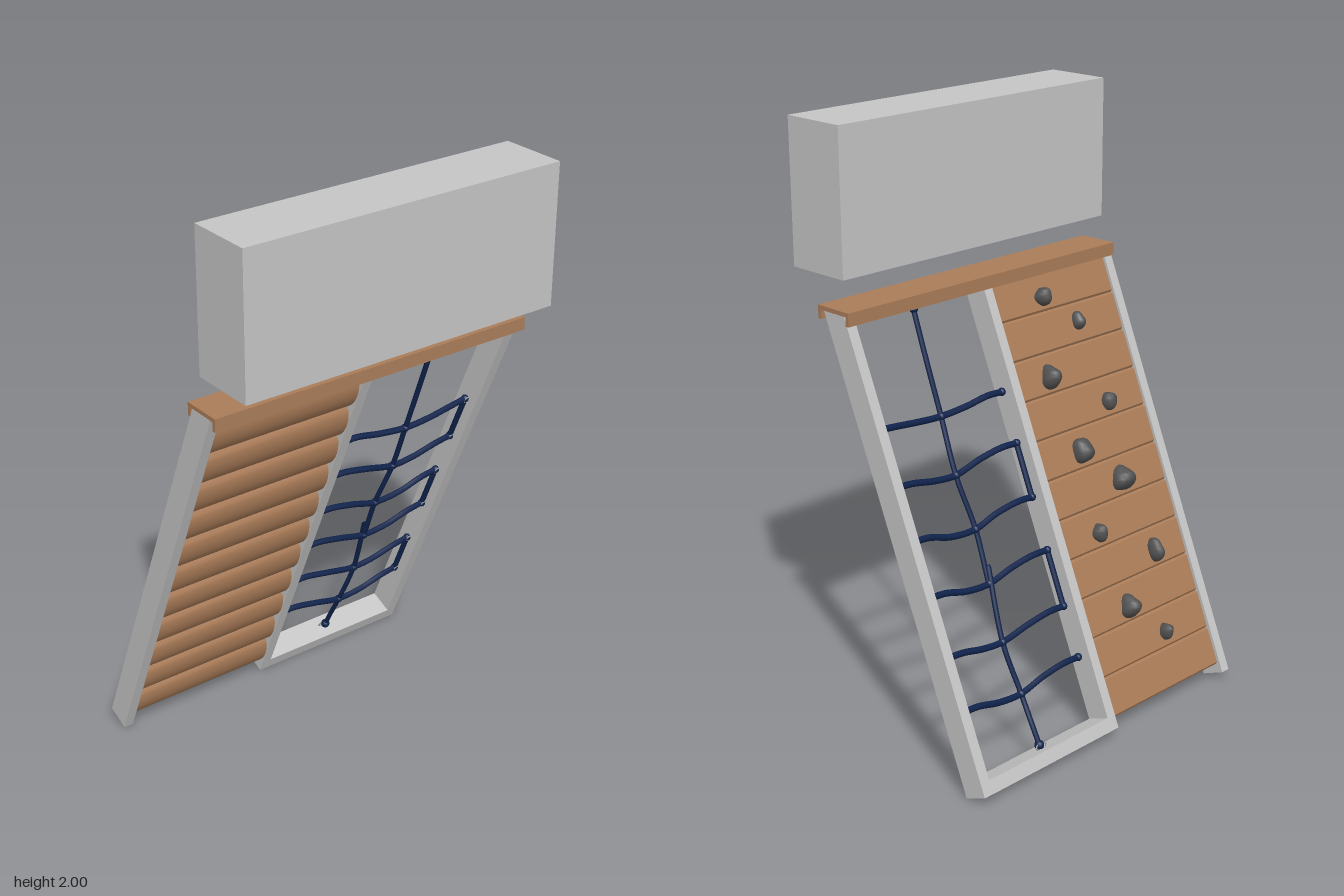
import * as THREE from 'three';
import { toCreasedNormals } from 'three/addons/utils/BufferGeometryUtils.js';

const TILT = 0.397, C = Math.cos(TILT), S = Math.sin(TILT);

function material(name, color) {
  const m = new THREE.MeshStandardMaterial({ color });
  m.name = name;
  return m;
}

// Extrudes a (z, y) outline sideways from x0 to x1
function extrudeX(points, x0, x1) {
  const shape = new THREE.Shape(points.map(([z, y]) => new THREE.Vector2(z, y)));
  const geo = new THREE.ExtrudeGeometry(shape, { depth: x1 - x0, bevelEnabled: false });
  geo.rotateY(-Math.PI / 2);
  geo.translate(x1, 0, 0);
  return toCreasedNormals(geo, 0.5);
}

export function createModel() {
  const model = new THREE.Group();
  model.name = 'climbingRamp';
  const grey = material('lightGrey', 0xc4c4c4);
  const wood = material('wood', 0xaa7c58);
  const navy = material('navyRope', 0x10234c);
  const stone = material('darkStone', 0x505050);
  const metal = material('metal', 0x9a9c9e);

  const add = (parent, name, geo, mat, x = 0, y = 0, z = 0) => {
    const mesh = new THREE.Mesh(geo, mat);
    mesh.name = name;
    mesh.position.set(x, y, z);
    parent.add(mesh);
    return mesh;
  };

  // Floating block above the ramp
  add(model, 'upperBlock', new THREE.BoxGeometry(1.14, 0.465, 0.23), grey, 0, 1.7675, 0.305);

  // Leaning side rails, cut level at the top
  const railSide = [[-0.335, 0], [0.265, 1.43], [0.172, 1.43], [-0.415, 0.034]];
  for (const [name, x0, x1] of [['rightRail', -0.588, -0.554], ['middleRail', -0.02, 0.015], ['leftRail', 0.55, 0.586]]) {
    add(model, name, extrudeX(railSide, x0, x1), grey);
  }

  // Channel-shaped cap board over the rails
  const cap = [[0.29, 1.402], [0.29, 1.445], [0.15, 1.445], [0.15, 1.402],
    [0.163, 1.402], [0.163, 1.431], [0.277, 1.431], [0.277, 1.402]];
  add(model, 'capBoard', extrudeX(cap, -0.588, 0.588), wood);

  // Everything below lies in the leaning plane: y up the slope, z out of its front
  const ramp = new THREE.Group();
  ramp.name = 'leaningPanel';
  ramp.position.z = -0.335;
  ramp.rotation.x = TILT;
  model.add(ramp);

  add(ramp, 'bottomSill', new THREE.BoxGeometry(0.535, 0.045, 0.087), grey, 0.2825, 0.0225, -0.0435);

  // Planks: rounded front, flat back with chamfered joints
  const pitch = 0.133;
  const profile = [];
  for (let i = 0; i <= 12; i++) {
    const a = i / 12;
    profile.push([-0.03 + 0.027 * Math.sqrt(Math.sin(a * Math.PI)), 0.003 + a * (pitch - 0.006)]);
  }
  profile.push([-0.04, pitch - 0.003], [-0.04, pitch], [-0.068, pitch], [-0.076, pitch - 0.007],
    [-0.076, 0.007], [-0.068, 0], [-0.04, 0], [-0.04, 0.003]);
  const plankGeo = extrudeX(profile, -0.554, -0.02);
  for (let i = 0; i < 11; i++) add(ramp, 'plank', plankGeo, wood, 0, 0.032 + i * pitch, 0);

  // Lumpy climbing holds on the back: x, height, width, length, depth
  const holds = [
    [-0.355, 0.24, 0.05, 0.06, 0.038], [-0.225, 0.36, 0.08, 0.075, 0.045],
    [-0.405, 0.49, 0.052, 0.075, 0.042], [-0.18, 0.605, 0.05, 0.065, 0.038],
    [-0.35, 0.735, 0.077, 0.09, 0.05], [-0.21, 0.86, 0.07, 0.085, 0.05],
    [-0.395, 0.975, 0.06, 0.065, 0.035], [-0.165, 1.1, 0.075, 0.08, 0.045],
    [-0.355, 1.24, 0.052, 0.055, 0.03], [-0.225, 1.34, 0.06, 0.06, 0.042],
  ];
  holds.forEach(([x, y, w, l, d], k) => {
    const geo = new THREE.SphereGeometry(1, 16, 12);
    const p = geo.attributes.position;
    for (let i = 0; i < p.count; i++) {
      const a = p.getX(i), b = p.getY(i), c = p.getZ(i);
      const r = 1 + 0.09 * Math.sin(3 * a + k) + 0.08 * Math.cos(4 * b + 2 * k + 2 * c);
      p.setXYZ(i, a * r * (1 - 0.15 * b) * w / 2, b * r * l / 2, c * r * d);
    }
    geo.computeVertexNormals();
    add(ramp, 'climbingHold', geo, stone, x, (y - 0.039) / C, -0.076);
  });

  // Point in the leaning plane from its world height and its depth behind the front
  const at = (x, y, t = 0.043) => new THREE.Vector3(x, (y - S * t) / C, -t);
  const rope = (name, points, radius, segments) => add(ramp, name,
    new THREE.TubeGeometry(new THREE.CatmullRomCurve3(points, false, 'centripetal'), segments, radius, 8), navy);
  const knot = (p, r = 0.015) => add(ramp, 'knot', new THREE.SphereGeometry(r, 12, 8), navy, p.x, p.y, p.z);

  // Six sagging rungs with the crossing points of the upright rope
  const rungs = [[1.08, 1.06, 1.085, 0.283], [0.922, 0.885, 0.917, 0.292], [0.755, 0.718, 0.757, 0.276],
    [0.59, 0.555, 0.592, 0.284], [0.415, 0.382, 0.415, 0.298], [0.255, 0.22, 0.255, 0.284]];
  const upright = [at(0.283, 1.405), at(0.285, 1.22, 0.035)];
  const lefts = [], rights = [];
  rungs.forEach(([ya, ym, yb, xm], i) => {
    const a = at(0.026, ya), b = at(0.543, yb), m = at(xm, ym, 0.026);
    rope('rungRope', [a, at(0.09, ya + 0.002), at(0.18, ya - 0.012, 0.034), m,
      at(0.38, ym + 0.006, 0.028), at(0.47, yb - 0.008, 0.036), b], 0.0105, 32);
    knot(m, 0.014);
    upright.push(m);
    lefts.push(a);
    rights.push(b);
    // Metal eyes fixing the rope to the rails
    for (const [p, side] of [[a, -1], [b, 1]]) {
      knot(p, 0.0135);
      add(ramp, 'ropeEye', new THREE.TorusGeometry(0.011, 0.0025, 6, 14), metal, p.x + side * 0.002, p.y, p.z + 0.008);
      const stem = add(ramp, 'eyeStem', new THREE.CylinderGeometry(0.004, 0.004, 0.014, 8), metal, p.x + side * 0.006, p.y, p.z);
      stem.rotation.z = Math.PI / 2;
    }
    // Links joining rung ends, alternating between the two rails
    if (i > 0) {
      const ends = i % 2 ? rights : lefts;
      rope('linkRope', [ends[i - 1], ends[i]], 0.0095, 4);
    }
  });
  upright.splice(6, 0, at(0.274, 0.62, 0.034));
  const foot = at(0.285, 0.07);
  upright.push(at(0.286, 0.13, 0.038), foot);
  rope('uprightRope', upright, 0.0085, 70);

  // Fixings at both ends of the upright rope
  knot(foot, 0.016);
  knot(at(0.283, 1.385), 0.014);
  for (const side of [-1, 1]) {
    add(ramp, 'footEye', new THREE.TorusGeometry(0.009, 0.0025, 6, 12), metal, 0.285 + side * 0.012, 0.052, -0.05);
  }
  return model;
}
